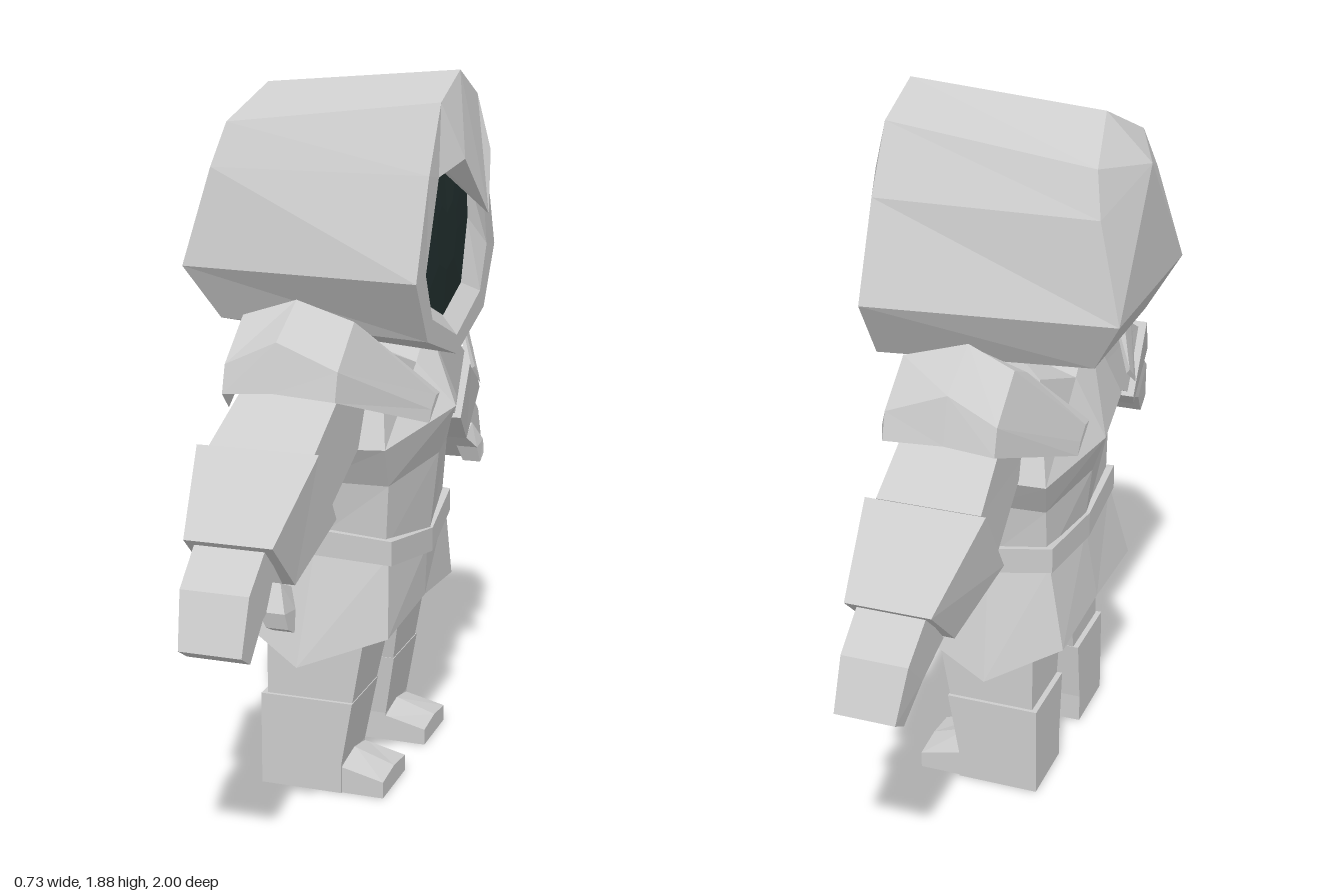
import * as THREE from 'three';

const cloth = new THREE.MeshStandardMaterial({ color: 0xcccccc, flatShading: true });
cloth.name = 'light grey cloth';
const visor = new THREE.MeshStandardMaterial({ color: 0x22302f, flatShading: true });
visor.name = 'dark teal visor';

// Closed solid through rings of [x, y, z] points; facing is fixed by signed volume.
function loft(name, rings, material = cloth) {
  const tris = [];
  const n = rings[0].length;
  const V = (p) => new THREE.Vector3(...p);
  const add = (a, b, c) => {
    const t = [V(a), V(b), V(c)];
    const area = t[1].clone().sub(t[0]).cross(t[2].clone().sub(t[0])).length();
    if (area > 1e-7) tris.push(t);
  };
  const cap = (ring, flip) => {
    const mid = [0, 1, 2].map((k) => ring.reduce((s, p) => s + p[k], 0) / n);
    ring.forEach((p, i) => {
      const q = ring[(i + 1) % n];
      if (flip) add(mid, q, p); else add(mid, p, q);
    });
  };
  for (let r = 0; r < rings.length - 1; r++) {
    for (let i = 0; i < n; i++) {
      const j = (i + 1) % n;
      add(rings[r][i], rings[r][j], rings[r + 1][j]);
      add(rings[r][i], rings[r + 1][j], rings[r + 1][i]);
    }
  }
  cap(rings[0], true);
  cap(rings[rings.length - 1], false);
  let volume = 0;
  for (const [a, b, c] of tris) volume += a.dot(b.clone().cross(c));
  const pos = [];
  for (const [a, b, c] of tris) {
    for (const v of volume < 0 ? [a, c, b] : [a, b, c]) pos.push(v.x, v.y, v.z);
  }
  const geo = new THREE.BufferGeometry();
  geo.setAttribute('position', new THREE.Float32BufferAttribute(pos, 3));
  geo.computeVertexNormals();
  const mesh = new THREE.Mesh(geo, material);
  mesh.name = name;
  return mesh;
}

// Full ring from a half ring whose first and last points lie on z = 0.
const mirrorRing = (half) => [
  ...half,
  ...half.slice(1, -1).reverse().map(([x, y, z]) => [x, y, -z]),
];

// Arm section: top and bottom given as [z, y], spanning x0 to x1.
const section = ([tz, ty], [bz, by], x0, x1) => [
  [x0, ty, tz], [x1, ty, tz], [x1, by, bz], [x0, by, bz],
];

// Level rectangle for legs.
const rect = (y, x0, x1, z0, z1) => [[x0, y, z0], [x1, y, z0], [x1, y, z1], [x0, y, z1]];

function makeHead() {
  const head = new THREE.Group();
  head.name = 'head';
  // Hood: back, crown, front edge, peaked rim, recess
  head.add(loft('hood', [
    [[-.36, 1.72, 0], [-.36, 1.72, 0], [-.36, 1.72, 0], [-.37, 1.39, .28], [-.37, 1.39, 0], [-.37, 1.39, 0]],
    [[-.24, 1.84, 0], [-.28, 1.75, .19], [-.305, 1.64, .24], [-.37, 1.39, .28], [-.29, 1.25, .22], [-.29, 1.25, 0]],
    [[.28, 1.88, 0], [.28, 1.81, .165], [.28, 1.64, .26], [.28, 1.39, .36], [.28, 1.23, .26], [.28, 1.15, 0]],
    [[.36, 1.52, 0], [.33, 1.67, .12], [.285, 1.63, .195], [.28, 1.40, .28], [.28, 1.28, .22], [.28, 1.20, 0]],
    [[.24, 1.62, 0], [.24, 1.68, .12], [.24, 1.62, .2], [.24, 1.48, .22], [.24, 1.31, .165], [.24, 1.25, 0]],
  ].map(mirrorRing), cloth));
  // Dark face inside the hood
  const edge = [[1.62, 0], [1.68, .12], [1.62, .2], [1.48, .22], [1.31, .165], [1.25, 0]];
  const faceRing = (x, s) => mirrorRing(edge.map(([y, z]) => [x, 1.45 + (y - 1.45) * s, z * s]));
  head.add(loft('face', [faceRing(.242, 1), faceRing(.25, .4)], visor));
  return head;
}

function makeBody() {
  const body = new THREE.Group();
  body.name = 'body';
  // Half rings run: front centre, front corner, side, back corner, back centre
  body.add(loft('torso', [
    [[.17, 1.12, 0], [.14, 1.19, .2], [0, 1.2, .26], [-.14, 1.19, .2], [-.17, 1.12, 0]],
    [[.28, 1.01, 0], [.19, .96, .32], [-.02, .95, .33], [-.2, .95, .32], [-.255, .96, 0]],
    [[.235, .88, 0], [.18, .85, .26], [-.02, .85, .27], [-.18, .85, .26], [-.22, .86, 0]],
    [[.21, .64, 0], [.17, .68, .25], [-.02, .69, .25], [-.18, .7, .25], [-.2, .69, 0]],
  ].map(mirrorRing)));
  body.add(loft('belt', [
    [[.22, .67, 0], [.19, .705, .265], [-.02, .72, .27], [-.2, .75, .265], [-.215, .73, 0]],
    [[.22, .605, 0], [.19, .64, .265], [-.02, .65, .27], [-.2, .68, .265], [-.215, .66, 0]],
  ].map(mirrorRing)));
  body.add(loft('skirt', [
    [[.205, .62, 0], [.18, .66, .255], [-.02, .67, .26], [-.19, .69, .255], [-.205, .68, 0]],
    [[.2, .48, 0], [.19, .45, .29], [-.04, .365, .35], [-.24, .47, .29], [-.24, .48, 0]],
    [[.17, .5, 0], [.16, .5, .25], [-.04, .5, .27], [-.2, .5, .25], [-.2, .5, 0]],
  ].map(mirrorRing)));
  return body;
}

function makeSide(side) {
  const group = new THREE.Group();
  group.name = side > 0 ? 'leftLimbs' : 'rightLimbs';
  const part = (name, rings) =>
    group.add(loft(name, rings.map((r) => r.map(([x, y, z]) => [x, y, z * side]))));

  // Shoulder pad draped from back to front, each slice given as [z, y] points
  const slices = [
    [-.26, [[.25, 1.02], [.23, 1.05], [.19, 1.08], [.16, 1.08]]],
    [-.15, [[.55, 1.13], [.53, 1.2], [.41, 1.3], [.32, 1.26]]],
    [-.02, [[.55, 1.14], [.52, 1.26], [.38, 1.34], [.3, 1.29]]],
    [.14, [[.55, 1.13], [.53, 1.2], [.41, 1.3], [.32, 1.26]]],
    [.28, [[.24, 1.02], [.22, 1.05], [.18, 1.08], [.15, 1.08]]],
  ];
  part('shoulderPad', slices.map(([x, pts]) => pts.map(([z, y]) => [x, y, z])));

  // Arm
  part('upperArm', [
    section([.3, 1.22], [.24, 1.0], -.12, .12),
    section([.64, 1.02], [.55, .85], -.15, .12),
  ]);
  part('forearmCuff', [
    section([.66, 1.03], [.54, .84], -.17, .14),
    section([.87, .86], [.73, .73], -.115, .105),
  ]);
  part('hand', [
    section([.85, .85], [.75, .74], -.095, .08),
    section([.95, .77], [.87, .69], -.09, .08),
    section([1, .64], [.95, .61], -.075, .08),
  ]);
  part('thumb', [
    section([.81, .76], [.74, .73], .03, .1),
    section([.85, .7], [.78, .69], .06, .125),
    section([.84, .66], [.8, .64], .075, .13),
  ]);

  // Leg
  part('leg', [
    rect(.55, -.15, .13, .03, .26),
    rect(.44, -.15, .12, .035, .275),
    rect(.24, -.15, .085, .075, .275),
  ]);
  part('boot', [
    rect(.255, -.165, .09, .07, .285),
    rect(.08, -.165, .06, .09, .285),
    rect(0, -.165, .06, .09, .285),
  ]);
  // Foot with a ridged top
  const footRing = (x, ridge, brow) => [
    [x, 0, .09], [x, brow, .09], [x, ridge, .185], [x, brow, .28], [x, 0, .28],
  ];
  part('foot', [footRing(.02, .1, .08), footRing(.07, .09, .07), footRing(.175, .055, .045)]);
  return group;
}

export function createModel() {
  const model = new THREE.Group();
  model.name = 'hoodedFigure';
  model.add(makeHead(), makeBody(), makeSide(1), makeSide(-1));
  return model;
}
